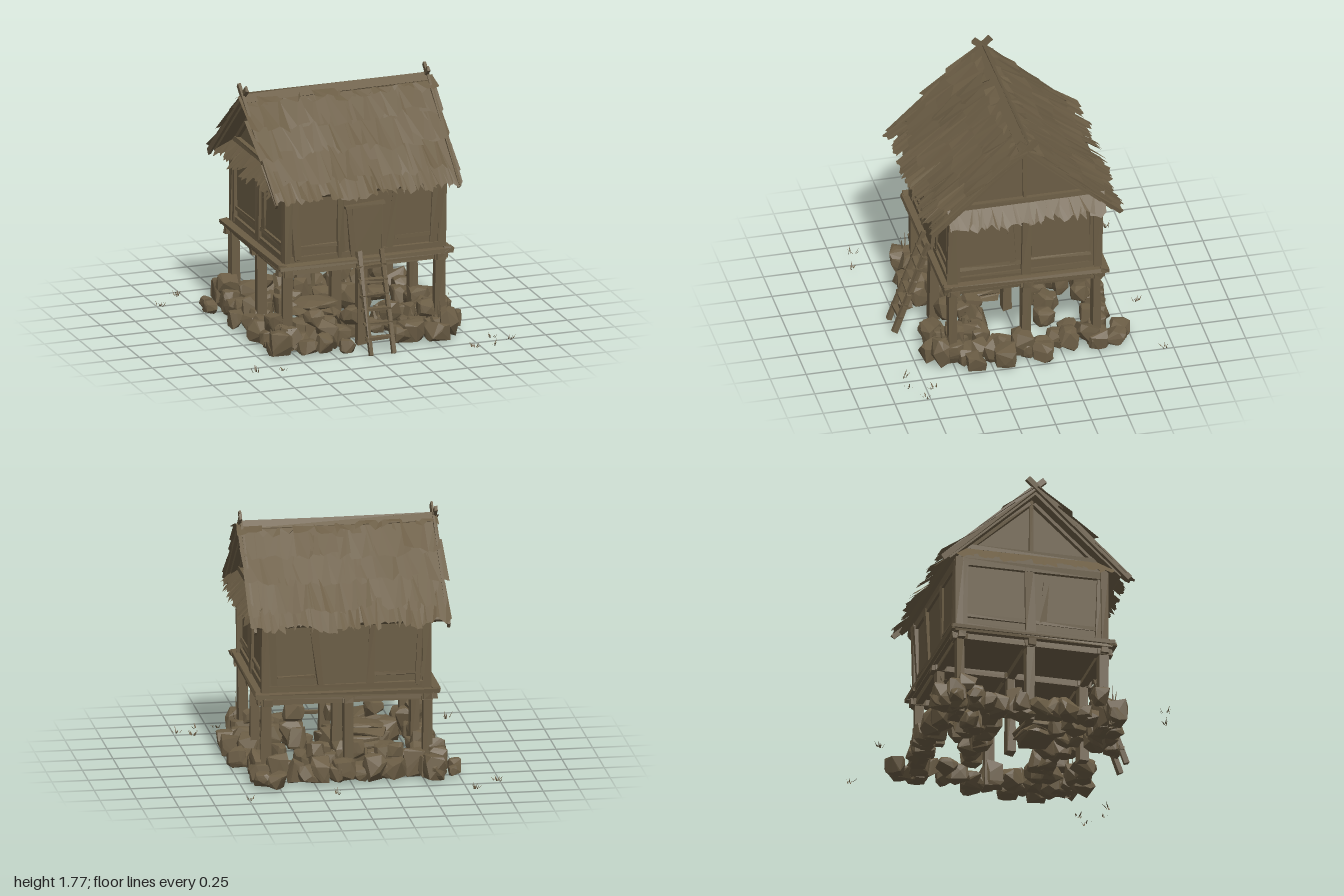
import * as THREE from 'three';
import { ConvexGeometry } from 'three/addons/geometries/ConvexGeometry.js';

const wood = new THREE.MeshStandardMaterial({ color: 0x6b5d45, flatShading: true, side: THREE.DoubleSide });
wood.name = 'weathered brown';

// Small seeded random generator
let seed = 11;
const rnd = (a = 0, b = 1) => {
  seed = (seed * 16807) % 2147483647;
  return a + (b - a) * (seed / 2147483647);
};
const V = (x, y, z) => new THREE.Vector3(x, y, z);
const UP = V(0, 1, 0);

function add(parent, name, geometry) {
  const mesh = new THREE.Mesh(geometry, wood);
  mesh.name = name;
  parent.add(mesh);
  return mesh;
}

function group(parent, name) {
  const g = new THREE.Group();
  g.name = name;
  parent.add(g);
  return g;
}

// Rough-hewn beam from a to b; corners are nudged by the wobble
function beam(parent, name, a, b, w, d, wobble = 0.005) {
  const geo = new THREE.BoxGeometry(w, a.distanceTo(b), d);
  const p = geo.attributes.position;
  const nudges = {};
  for (let i = 0; i < p.count; i++) {
    const key = [p.getX(i) > 0, p.getY(i) > 0, p.getZ(i) > 0].join();
    nudges[key] ??= [rnd(-wobble, wobble), rnd(-wobble, wobble), rnd(-wobble, wobble)];
    const n = nudges[key];
    p.setXYZ(i, p.getX(i) + n[0], p.getY(i) + n[1], p.getZ(i) + n[2]);
  }
  geo.computeVertexNormals();
  const mesh = add(parent, name, geo);
  mesh.position.addVectors(a, b).multiplyScalar(0.5);
  mesh.quaternion.setFromUnitVectors(UP, b.clone().sub(a).normalize());
  return mesh;
}

// Row of ragged straw clumps; place(u, v, lift) maps the row onto a slope
function thatchRow(parent, name, place, u0, u1, n, v0, v1, rag, lift) {
  const pos = [];
  const step = (u1 - u0) / n;
  for (let i = 0; i < n; i++) {
    const a = u0 + step * (i + rnd(-0.35, 0)), b = u0 + step * (i + rnd(1, 1.35));
    const l = rnd(0.4, 1) * lift, tilt = rnd(-0.6, 0.6) * lift, end = v1 + rnd(-0.6, 0.4) * rag;
    const tl = place(a, v0, 0.008), tr = place(b, v0, 0.008);
    // Lower edge: a run of uneven straw tips, some clumps skewed sideways
    const skew = rnd(-0.015, 0.015);
    const low = [0, rnd(0.15, 0.4), rnd(0.45, 0.6), rnd(0.65, 0.9), 1].map((k) =>
      place(a + (b - a) * k + skew, end + rnd(-1, 0.8) * rag * 0.7, l + tilt * (k - 0.5)));
    pos.push(...tl, ...low[0], ...low[1], ...tl, ...low[1], ...low[2], ...tl, ...low[2], ...tr);
    pos.push(...tr, ...low[2], ...low[3], ...tr, ...low[3], ...low[4]);
  }
  const geo = new THREE.BufferGeometry();
  geo.setAttribute('position', new THREE.Float32BufferAttribute(pos, 3));
  geo.computeVertexNormals();
  add(parent, name, geo);
}

// Faceted boulder with its base at y
function stone(parent, x, y, z, w, h, d) {
  const pts = [];
  for (let i = 0; i < 24; i++) {
    const p = V(rnd(-1, 1), rnd(-1, 1), rnd(-1, 1));
    const norm = (p.x ** 6 + p.y ** 6 + p.z ** 6) ** (1 / 6);
    pts.push(p.multiplyScalar(rnd(0.5, 0.55) / norm));
  }
  const m = add(parent, 'stone', new ConvexGeometry(pts));
  m.scale.set(w, h, d);
  m.rotation.y = rnd(-0.3, 0.3);
  m.position.set(x, y + h * 0.53, z);
}

// Tuft of thin grass blades
function tuft(parent, x, z, h, n) {
  const pos = [];
  for (let i = 0; i < n; i++) {
    const a = rnd(0, 6.28), r = rnd(0, 0.03), w = 0.004 + 0.03 * h, lean = Math.min(h, 0.1) * rnd(0.1, 0.8);
    const c = Math.cos(a), s = Math.sin(a), px = x + c * r, pz = z + s * r;
    pos.push(px - s * w, 0, pz + c * w, px + s * w, 0, pz - c * w, px + c * lean, h * rnd(0.4, 1), pz + s * lean);
  }
  const geo = new THREE.BufferGeometry();
  geo.setAttribute('position', new THREE.Float32BufferAttribute(pos, 3));
  geo.computeVertexNormals();
  add(parent, 'grassTuft', geo);
}

export function createModel() {
  seed = 11;
  const model = new THREE.Group();
  model.name = 'stiltHut';

  // Stilts and raised floor
  const base = group(model, 'stiltsAndDeck');
  const xs = [-0.53, 0.01, 0.57], zs = [-0.5, -0.01, 0.5];
  for (const x of xs) for (const z of zs) {
    beam(base, 'stilt', V(x, 0, z), V(x, 0.58, z), 0.065, 0.06, 0.008);
    beam(base, 'stiltCap', V(x, 0.54, z), V(x, 0.58, z), 0.085, 0.085);
  }
  for (const x of xs) beam(base, 'joist', V(x, 0.565, -0.56), V(x, 0.565, 0.56), 0.06, 0.045);
  for (const z of zs) beam(base, 'crossJoist', V(-0.6, 0.565, z), V(0.63, 0.565, z), 0.045, 0.05);
  beam(base, 'floor', V(-0.6, 0.598, 0), V(0.63, 0.598, 0), 0.025, 1.1);
  for (const z of [-0.55, 0.55]) beam(base, 'deckEdge', V(-0.61, 0.612, z), V(0.65, 0.612, z), 0.03, 0.06, 0.008);
  for (const x of [-0.585, 0.615]) beam(base, 'deckEdge', V(x, 0.615, -0.57), V(x, 0.615, 0.57), 0.06, 0.03, 0.008);

  // Walls with timber framing
  const walls = group(model, 'walls');
  beam(walls, 'wallPanels', V(0.025, 0.61, 0), V(0.025, 1.18, 0), 1.11, 1.03, 0);
  for (const x of [-0.53, 0.58]) for (const z of [-0.51, 0.51])
    beam(walls, 'cornerPost', V(x, 0.61, z), V(x, 1.165, z), 0.06, 0.06, 0.01);
  for (const s of [-1, 1]) {
    const z = s * 0.522;
    beam(walls, 'sill', V(-0.53, 0.645, z), V(0.58, 0.645, z), 0.05, 0.025);
    beam(walls, 'topRail', V(-0.53, 1.12, z), V(0.58, 1.12, z), 0.06, 0.03);
    for (const [x, lean] of [[-0.46, -0.03], [-0.14, -0.01], [0.2, 0.05], [0.52, 0.02]])
      beam(walls, 'wallStud', V(x, 0.64, z), V(x + lean, 1.12, z), 0.045, 0.025, 0.012);
    beam(walls, 'wallRail', V(-0.45, 0.73, z), V(-0.17, 0.73, z), 0.022, 0.015);
    beam(walls, 'wallRail', V(0.24, 0.73, z), V(0.5, 0.73, z), 0.022, 0.015);
    const x = 0.025 + s * 0.56;
    beam(walls, 'sideSill', V(x, 0.645, -0.5), V(x, 0.645, 0.5), 0.025, 0.05);
    beam(walls, 'sideTopRail', V(x, 1.13, -0.5), V(x, 1.13, 0.5), 0.03, 0.05);
    for (const sz of [-0.48, -0.01, 0.48])
      beam(walls, 'sideStud', V(x, 0.64, sz), V(x, 1.14, sz + rnd(-0.01, 0.01)), 0.028, 0.06, 0.01);
    beam(walls, 'sideBatten', V(x, 0.74, 0.08), V(x, 1.04, 0.1), 0.02, 0.04, 0.008);
    beam(walls, 'sideRail', V(x, 0.735, -0.46), V(x, 0.735, -0.04), 0.02, 0.025);
    beam(walls, 'sideRail', V(x, 0.735, 0.03), V(x, 0.735, 0.46), 0.02, 0.025);
  }

  // Door
  const door = group(model, 'door');
  beam(door, 'doorLeaf', V(0.04, 0.64, 0.53), V(0.04, 0.98, 0.53), 0.21, 0.02);
  beam(door, 'doorLintel', V(-0.12, 0.98, 0.53), V(0.165, 1, 0.53), 0.025, 0.035);
  beam(door, 'doorJamb', V(-0.06, 0.63, 0.53), V(-0.09, 0.98, 0.53), 0.035, 0.03);
  beam(door, 'doorJamb', V(0.15, 0.63, 0.53), V(0.15, 0.98, 0.53), 0.015, 0.03);

  // Ladder leaning on the deck
  const ladder = group(model, 'ladder');
  for (const x of [-0.03, 0.135]) beam(ladder, 'ladderRail', V(x, 0, 0.8), V(x, 0.67, 0.555), 0.03, 0.035);
  for (let i = 0; i < 6; i++) {
    const y = 0.11 + i * 0.092, z = 0.8 - y * 0.364;
    beam(ladder, 'rung', V(-0.055, y + rnd(-0.01, 0.01), z), V(0.15, y, z), 0.022, 0.035);
  }

  // Roof: boards, layered thatch, gables and ridge
  const roof = group(model, 'roof');
  for (const s of [-1, 1]) {
    const place = (x, t, o) => [x, 1.675 - 0.59 * t + o * 0.74, s * (0.65 * t + o * 0.67)];
    beam(roof, 'roofBoards', V(0.005, 1.66, 0), V(0.005, 1.11, s * 0.605), 1.29, 0.03, 0);
    [[0.62, 1.01, 20], [0.42, 0.86, 13], [0.22, 0.6, 12], [0, 0.35, 11], [0, 0.13, 10]].forEach(([v0, v1, n]) =>
      thatchRow(roof, 'thatchLayer', place, -0.665, 0.675, n, v0, v1, 0.055, 0.045));
    // Gable end at x = s
    const gx = 0.025 + s * 0.545, ex = 0.003 + s * 0.662;
    const tri = new THREE.Shape([[-0.53, 1.17], [0.53, 1.17], [0, 1.65]].map(([a, b]) => new THREE.Vector2(a, b)));
    const gable = add(roof, 'gableWall', new THREE.ExtrudeGeometry(tri, { depth: 0.02, bevelEnabled: false }));
    gable.rotation.y = Math.PI / 2;
    gable.position.x = gx - 0.01;
    beam(roof, 'tieBeam', V(gx + s * 0.02, 1.235, -0.45), V(gx + s * 0.02, 1.235, 0.45), 0.04, 0.04);
    beam(roof, 'kingPost', V(gx + s * 0.015, 1.24, 0), V(gx + s * 0.015, 1.64, 0), 0.03, 0.03);
    for (const q of [-1, 1]) {
      beam(roof, 'gableRafter', V(gx + s * 0.02, 1.62, q * 0.02), V(gx + s * 0.02, 1.19, q * 0.5), 0.035, 0.05);
      beam(roof, 'bargeBoard', V(ex + s * 0.006 * q, 1.745, -q * 0.06), V(ex, 1.085, q * 0.655), 0.018, 0.04, 0.004);
    }
    const skirt = (z, t, o) => [gx + s * (0.025 + 0.1 * t + o), 1.225 - 0.11 * t + o * 0.5, z];
    thatchRow(roof, 'gableSkirt', skirt, -0.54, 0.54, 14, 0, 1.05, 0.3, 0.025);
    beam(roof, 'ridgeCap', V(0.003, 1.69, -s * 0.005), V(0.003, 1.65, s * 0.05), 1.33, 0.018, 0.008);
  }

  // Stones: a ring around the stilts, a second course and inner rubble
  const rocks = group(model, 'stones');
  for (let i = 0; i < 14; i++) {
    const t = -0.6 + i * 0.092;
    for (const s of [-1, 1]) {
      if (s < 0 || t < -0.06 || t > 0.18)
        stone(rocks, t + rnd(-0.03, 0.03), 0, s * rnd(0.5, 0.6), rnd(0.11, 0.17), rnd(0.1, 0.2), rnd(0.11, 0.17));
      stone(rocks, s * rnd(0.54, 0.63), 0, t + rnd(-0.03, 0.03), rnd(0.11, 0.17), rnd(0.1, 0.2), rnd(0.11, 0.17));
      if (i % 3 === 0)
        stone(rocks, t, 0.13, -s * 0.47, rnd(0.1, 0.15), rnd(0.09, 0.14), 0.12);
      stone(rocks, rnd(-0.45, 0.45), 0, s * rnd(0.2, 0.42), rnd(0.1, 0.16), rnd(0.08, 0.2), rnd(0.1, 0.16));
    }
  }
  [[-0.57, -0.65, 0.12], [0.52, -0.68, 0.13], [-0.71, -0.57, 0.08], [-0.73, -0.45, 0.09], [-0.67, -0.1, 0.11],
    [0.71, -0.1, 0.13], [0.7, 0.16, 0.15], [0.71, 0.37, 0.13], [-0.15, 0.66, 0.1], [0.51, 0.63, 0.15],
    [-0.3, 0.61, 0.12], [-0.42, 0.61, 0.12]].forEach(([x, z, w]) => stone(rocks, x, 0, z, w, w * rnd(0.8, 1.2), w));
  // Flat slabs stacked under the floor
  for (let i = 0; i < 5; i++) stone(rocks, -0.18 + rnd(-0.03, 0.03), i * 0.042, 0.12, 0.28, 0.05, 0.22);

  // Grass
  const grass = group(model, 'grass');
  [[-0.8, -0.89], [0.15, -0.88], [0.74, -0.94], [-0.98, -0.73], [-0.88, 0.85], [-0.7, 0.89], [0.69, 0.87],
    [0.83, 0.86], [0.98, 0.77], [0.88, 0.7]].forEach(([x, z], i) => tuft(grass, x, z, 0.045, i % 3 ? 6 : 9));
  tuft(grass, -0.64, 0.54, 0.29, 8);
  tuft(grass, 0.58, 0.54, 0.36, 6);
  tuft(grass, -0.56, 0.55, 0.25, 6);
  return model;
}
